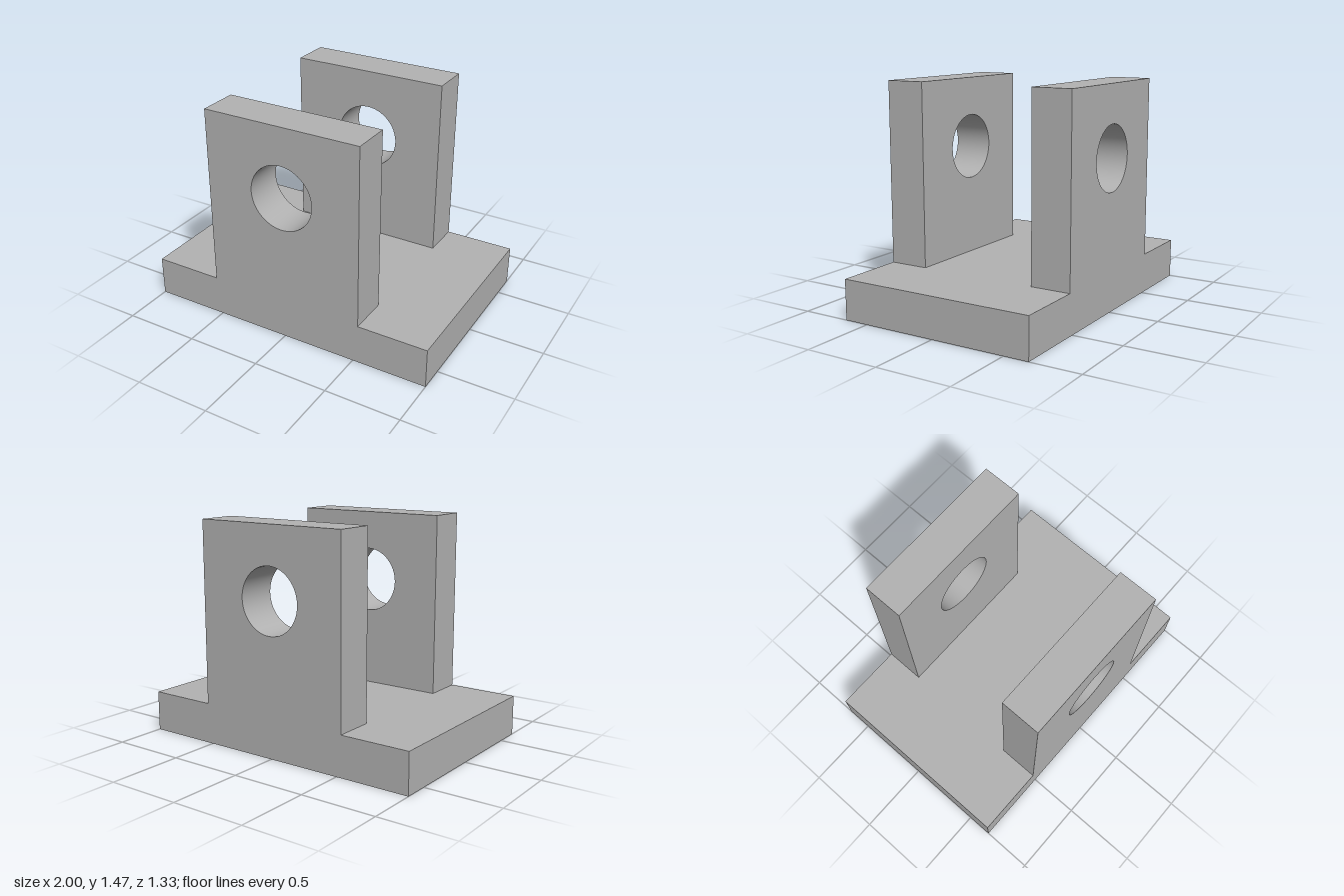
import * as THREE from 'three';
import { toCreasedNormals } from 'three/addons/utils/BufferGeometryUtils.js';

const WIDTH = 2, DEPTH = 4 / 3, BASE_HEIGHT = 0.2667;
const LUG_HALF_WIDTH = 0.5333, LUG_TOP = 1.4667, LUG_THICKNESS = 0.2667;
const HOLE_Y = 1, HOLE_RADIUS = 0.2155;

// Upright plate with a round pin hole, extruded along +z
function lugGeometry() {
  const shape = new THREE.Shape();
  shape.moveTo(-LUG_HALF_WIDTH, BASE_HEIGHT);
  shape.lineTo(LUG_HALF_WIDTH, BASE_HEIGHT);
  shape.lineTo(LUG_HALF_WIDTH, LUG_TOP);
  shape.lineTo(-LUG_HALF_WIDTH, LUG_TOP);
  shape.closePath();

  const hole = new THREE.Path();
  hole.absarc(0, HOLE_Y, HOLE_RADIUS, 0, Math.PI * 2, true);
  shape.holes.push(hole);

  const geometry = new THREE.ExtrudeGeometry(shape, {
    depth: LUG_THICKNESS, bevelEnabled: false, curveSegments: 32,
  });
  return toCreasedNormals(geometry, 0.5);
}

export function createModel() {
  const model = new THREE.Group();
  model.name = 'clevisBracket';
  const metal = new THREE.MeshStandardMaterial({ color: 0xb2b2b2 });
  metal.name = 'plain grey';

  // Base plate
  const base = new THREE.Mesh(new THREE.BoxGeometry(WIDTH, BASE_HEIGHT, DEPTH), metal);
  base.name = 'basePlate';
  base.position.y = BASE_HEIGHT / 2;
  model.add(base);

  // Two lugs, flush with the front and back of the base
  const geometry = lugGeometry();
  for (const [name, z] of [['frontLug', DEPTH / 2 - LUG_THICKNESS], ['backLug', -DEPTH / 2]]) {
    const lug = new THREE.Mesh(geometry, metal);
    lug.name = name;
    lug.position.z = z;
    model.add(lug);
  }
  return model;
}
